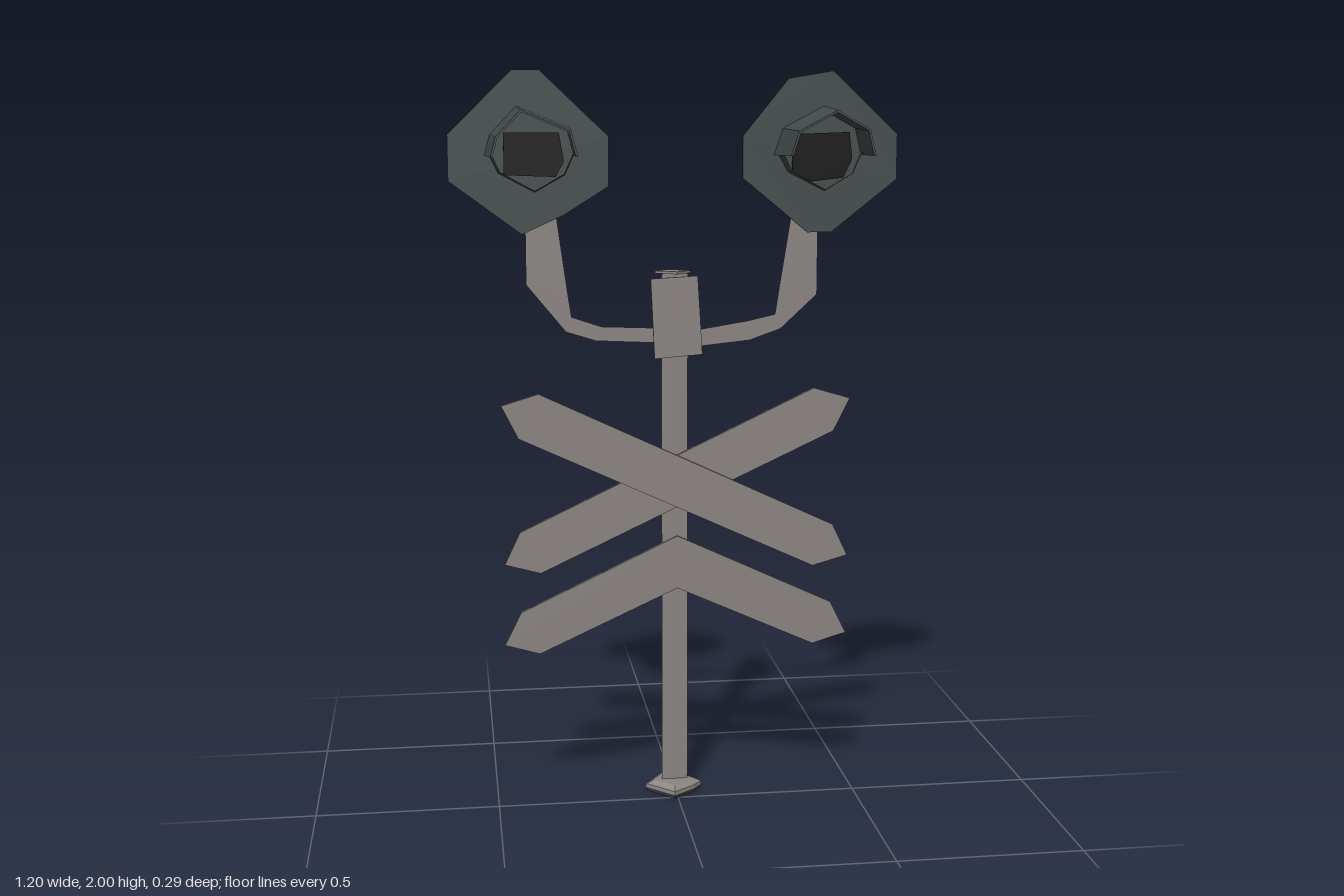
import * as THREE from 'three';

const mat = (name, color, side = THREE.FrontSide) => {
  const m = new THREE.MeshStandardMaterial({ color, side, flatShading: true });
  m.name = name;
  return m;
};

// Loft straight faces between equally long cross-sections of [x, y, z] points
function loft(sections, closed = true, caps = false) {
  const p = [];
  const n = sections[0].length;
  for (let s = 0; s < sections.length - 1; s++) {
    const a = sections[s], b = sections[s + 1];
    for (let i = 0; i < (closed ? n : n - 1); i++) {
      const j = (i + 1) % n;
      p.push(...a[i], ...a[j], ...b[j], ...a[i], ...b[j], ...b[i]);
    }
  }
  if (caps) {
    const a = sections[0], b = sections[sections.length - 1];
    for (let i = 1; i < n - 1; i++) p.push(...a[0], ...a[i + 1], ...a[i], ...b[0], ...b[i], ...b[i + 1]);
  }
  const g = new THREE.BufferGeometry();
  g.setAttribute('position', new THREE.Float32BufferAttribute(p, 3));
  g.computeVertexNormals();
  return g;
}

// Flat panel in the xy plane, from z0 to z0 + depth
function panel(points, z0, depth) {
  const shape = new THREE.Shape(points.map(([x, y]) => new THREE.Vector2(x, y)));
  return new THREE.ExtrudeGeometry(shape, { depth, bevelEnabled: false }).translate(0, 0, z0);
}

export function createModel() {
  const group = new THREE.Group();
  const metal = mat('grey metal', 0x8b8582, THREE.DoubleSide);
  const dark = mat('dark housing', 0x434b4b, THREE.DoubleSide);
  const black = mat('black lens', 0x0a0a0a);

  const add = (name, geometry, material, parent = group) => {
    const mesh = new THREE.Mesh(geometry, material);
    mesh.name = name;
    parent.add(mesh);
    return mesh;
  };

  // Foot: irregular slab with a bevelled top and a dark underside
  const foot = [[-0.085, -0.06], [-0.01, 0.015], [0.05, -0.03], [0.075, -0.06], [0, -0.143], [-0.03, -0.138]];
  const ring = (y, k) => foot.map(([x, z]) => [x * k, y, -0.063 + (z + 0.063) * k]);
  add('foot', loft([ring(0.012, 1), ring(0.022, 0.98), ring(0.032, 0.72)], true, true), metal);
  add('footUnderside', loft([ring(0, 0.92), ring(0.012, 1)], true, true), dark);

  // Post: flat front with a back ridge that fades out towards the top
  const postRing = (y, z, ridge) => [[-0.037, y, z], [0, y, z + 0.001], [0.035, y, z], [0.005, y, z - ridge]];
  add('post', loft([postRing(0.02, -0.063, 0.022), postRing(1.465, -0.062, 0.003)], true, true), metal);

  // Cap and front plate at the top of the post
  const cap = [[-0.055, -0.06], [0, -0.02], [0.042, -0.06], [-0.015, -0.103]];
  const capRing = y => cap.map(([x, z]) => [x, y, z]);
  add('cap', loft([capRing(1.467), capRing(1.474)], true, true), metal);
  add('frontPlate', panel([[-0.07, 1.455], [-0.06, 1.24], [0.07, 1.25], [0.057, 1.462]], -0.032, 0.006), metal);

  // Crossed boards
  const board = [[-0.375, 1.155], [-0.475, 1.125], [-0.43, 1.035], [0.375, 0.66], [0.472, 0.687], [0.43, 0.775]];
  add('crossBoardFront', panel(board, -0.008, 0.011), metal);
  add('crossBoardBack', panel(board.map(([x, y]) => [-x, y]), -0.02, 0.011), metal);

  // Chevron board below
  const half = [[-0.43, 0.55], [-0.475, 0.46], [-0.38, 0.432]];
  const chevron = [[0, 0.752], ...half, [0, 0.605], ...half.map(([x, y]) => [-x, y]).reverse()];
  add('chevronBoard', panel(chevron, -0.022, 0.011), metal);

  // Bent arms: rows of outer x, y, inner x, y and back ridge depth
  const arms = {
    rightArm: [
      [0, 1.28, 0, 1.32, 0.003], [-0.07, 1.28, -0.07, 1.32, 0.003], [-0.215, 1.287, -0.2, 1.325, 0.004],
      [-0.295, 1.312, -0.28, 1.352, 0.004], [-0.4, 1.44, -0.29, 1.42, 0.004],
      [-0.4, 1.62, -0.32, 1.64, 0.004], [-0.395, 1.91, -0.37, 1.91, 0.002],
    ],
    leftArm: [
      [0, 1.26, 0, 1.31, 0.003], [0.07, 1.268, 0.07, 1.314, 0.004], [0.205, 1.282, 0.2, 1.335, 0.016],
      [0.29, 1.312, 0.275, 1.352, 0.022], [0.39, 1.405, 0.285, 1.42, 0.014],
      [0.39, 1.6, 0.315, 1.61, 0.006], [0.39, 1.91, 0.365, 1.91, 0.002],
    ],
  };
  for (const [name, rows] of Object.entries(arms)) {
    const sections = rows.map(([ox, oy, ix, iy, d]) => [
      [ox, oy, -0.063], [ix, iy, -0.063], [(ox + ix) / 2, (oy + iy) / 2, -0.063 - d],
    ]);
    if (name === 'leftArm') sections.forEach(s => s.reverse());
    add(name, loft(sections, true, true), metal);
  }

  // Signal lamps: backing disc, open hood, lower rim and lens
  const lamps = [
    {
      name: 'rightLamp', cx: -0.385,
      disc: [[-0.43, 2], [-0.6, 1.835], [-0.6, 1.715], [-0.41, 1.575], [-0.3, 1.625], [-0.18, 1.7], [-0.18, 1.83], [-0.36, 2]],
      hood: [[-0.505, 1.78], [-0.49, 1.835], [-0.42, 1.908], [-0.28, 1.85], [-0.262, 1.78]],
      rim: [[-0.495, 1.785], [-0.47, 1.735], [-0.375, 1.685], [-0.295, 1.73], [-0.27, 1.785]],
      lens: [[-0.455, 1.84], [-0.455, 1.73], [-0.32, 1.725], [-0.298, 1.765], [-0.31, 1.84]],
    },
    {
      name: 'leftLamp', cx: 0.385,
      disc: [[0.42, 2], [0.3, 1.98], [0.178, 1.83], [0.178, 1.72], [0.355, 1.575], [0.42, 1.575], [0.597, 1.715], [0.597, 1.835]],
      hood: [[0.262, 1.78], [0.285, 1.85], [0.395, 1.908], [0.49, 1.855], [0.508, 1.78]],
      rim: [[0.272, 1.785], [0.3, 1.735], [0.4, 1.685], [0.475, 1.73], [0.497, 1.785]],
      lens: [[0.315, 1.835], [0.31, 1.735], [0.36, 1.71], [0.45, 1.72], [0.473, 1.77], [0.465, 1.84]],
    },
  ];
  for (const { name, cx, disc, hood, rim, lens } of lamps) {
    const lamp = new THREE.Group();
    lamp.name = name;
    group.add(lamp);
    add('backingDisc', panel(disc, -0.039, 0.007), dark, lamp);
    const arch = (z, k) => hood.map(([x, y]) => [cx + (x - cx) * k, 1.785 + (y - 1.785) * k, z]);
    // Hood with a thin inner wall joined along the front lip
    add('hood', loft([arch(-0.033, 1), arch(0.145, 0.91), arch(0.145, 0.86), arch(-0.033, 0.92)], false), dark, lamp);
    // Rim reaches forward at the sides and fades at the bottom
    const reach = [0.02, 0, -0.015, 0, 0.02];
    const back = rim.map(([x, y]) => [x, y, -0.033]);
    const front = rim.map(([x, y], i) => [cx + (x - cx) * 0.95, y + 0.004, reach[i]]);
    add('lowerRim', loft([back, front], false), dark, lamp);
    add('lens', panel(lens, -0.033, 0.008), black, lamp);
  }
  return group;
}
